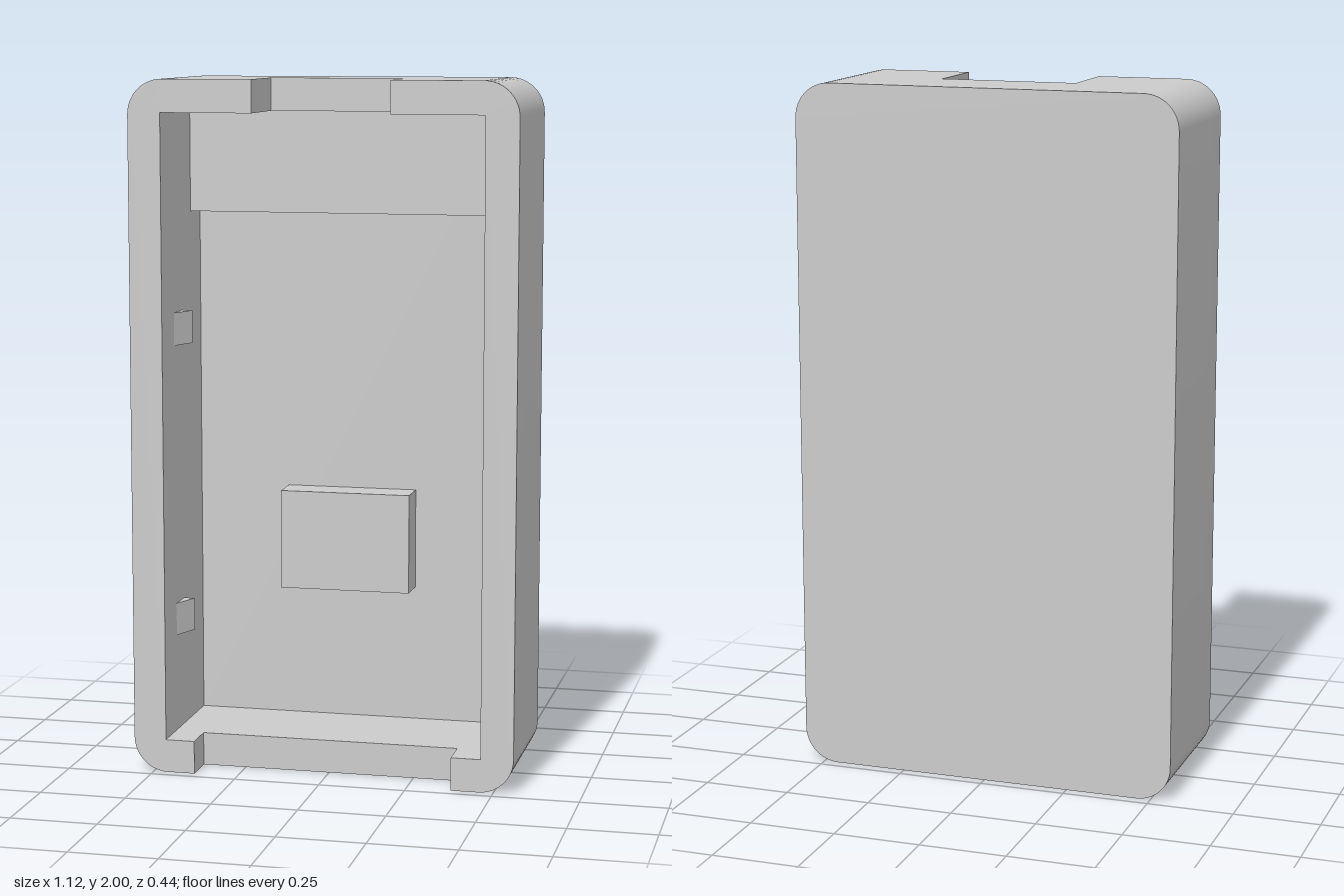
import * as THREE from 'three';
import { mergeGeometries, toCreasedNormals } from 'three/addons/utils/BufferGeometryUtils.js';

const W = 0.558, H = 2, R = 0.1;                 // outer half width, height, corner radius
const IW = 0.463, IB = 0.096, IT = 1.906;        // cavity half width, bottom, top
const BACK = -0.22, FLOOR = -0.18, FRONT = 0.22; // depth levels
const TOP_STEP = 0, BOTTOM_STEP = 0.12;          // depth where the rim notches begin
const TOP_HALF = 0.198, BOTTOM_HALF = 0.378;     // half widths of the notches

const v = (x, y) => new THREE.Vector2(x, y);
const mirror = pts => pts.map(p => v(-p.x, p.y)).reverse();
const rect = (x, y0, y1) => [v(-x, y0), v(x, y0), v(x, y1), v(-x, y1)];

// outer edge of the +x half, from the bottom to the top
function outerHalf() {
  const pts = [];
  for (const [cy, start] of [[R, -Math.PI / 2], [H - R, 0]])
    for (let i = 0; i <= 12; i++) {
      const a = start + (i / 12) * Math.PI / 2;
      pts.push(v(W - R + R * Math.cos(a), cy + R * Math.sin(a)));
    }
  return pts;
}

// side walls of an extruded shape between two depths, without caps
function walls(shape, z0, z1) {
  const e = new THREE.ExtrudeGeometry(shape, { depth: z1 - z0, bevelEnabled: false });
  const g = new THREE.BufferGeometry();
  const pos = e.attributes.position.array.slice(e.groups[1].start * 3);
  g.setAttribute('position', new THREE.BufferAttribute(pos, 3));
  return g.translate(0, 0, z0);
}

// flat face at one depth
function face(shape, z, backward = false) {
  const g = new THREE.ShapeGeometry(shape).toNonIndexed();
  g.deleteAttribute('uv');
  g.deleteAttribute('normal');
  if (backward) g.rotateY(Math.PI);
  return g.translate(0, 0, z);
}

export function createModel() {
  const model = new THREE.Group();
  const material = new THREE.MeshStandardMaterial({ color: 0xcccccc });
  const add = (name, geometry) => {
    const mesh = new THREE.Mesh(geometry, material);
    mesh.name = name;
    model.add(mesh);
    return mesh;
  };

  // outlines of the tray at its successive depths
  const half = outerHalf();
  const full = [...half, ...mirror(half)];
  const cavity = rect(IW, IB, IT);
  const plate = new THREE.Shape(full);
  const ring = new THREE.Shape(full);
  ring.holes.push(new THREE.Path(cavity));
  const openHalf = [...half, v(TOP_HALF, H), v(TOP_HALF, IT), v(IW, IT), v(IW, IB)];
  const openTop = new THREE.Shape([...openHalf, ...mirror(openHalf)]);
  const sideHalf = [v(BOTTOM_HALF, 0), ...openHalf, v(BOTTOM_HALF, IB)];
  const sides = [new THREE.Shape(sideHalf), new THREE.Shape(mirror(sideHalf))];

  // tray: back plate, rim walls, notch steps and front rim as one skin
  const skin = mergeGeometries([
    face(plate, BACK, true),
    walls(plate, BACK, FLOOR),
    face(new THREE.Shape(cavity), FLOOR),
    walls(ring, FLOOR, TOP_STEP),
    face(new THREE.Shape(rect(TOP_HALF, IT, H)), TOP_STEP),
    walls(openTop, TOP_STEP, BOTTOM_STEP),
    face(new THREE.Shape(rect(BOTTOM_HALF, 0, IB)), BOTTOM_STEP),
    ...sides.map(s => walls(s, BOTTOM_STEP, FRONT)),
    ...sides.map(s => face(s, FRONT)),
  ]);
  add('tray', toCreasedNormals(skin, Math.PI / 6));

  // raised ledge at the top of the floor, and the support block
  const raised = (name, halfWidth, y0, y1) =>
    add(name, new THREE.BoxGeometry(halfWidth * 2, y1 - y0, 0.1))
      .position.set(0, (y0 + y1) / 2, FLOOR + 0.05);
  raised('topLedge', IW, 1.61, IT);
  raised('supportBlock', 0.193, 0.498, 0.79);

  // wedge-shaped snap clips on the side walls
  for (const [side, s] of [['left', 1], ['right', -1]])
    for (const [level, y] of [['Lower', 0.38], ['Upper', 1.234]]) {
      const wedge = new THREE.Shape([v(s * IW, -0.1), v(s * IW, -0.02), v(s * 0.431, -0.02)]);
      const g = new THREE.ExtrudeGeometry(wedge, { depth: 0.095, bevelEnabled: false });
      add(side + level + 'Clip', g.rotateX(-Math.PI / 2)).position.y = y;
    }

  return model;
}
